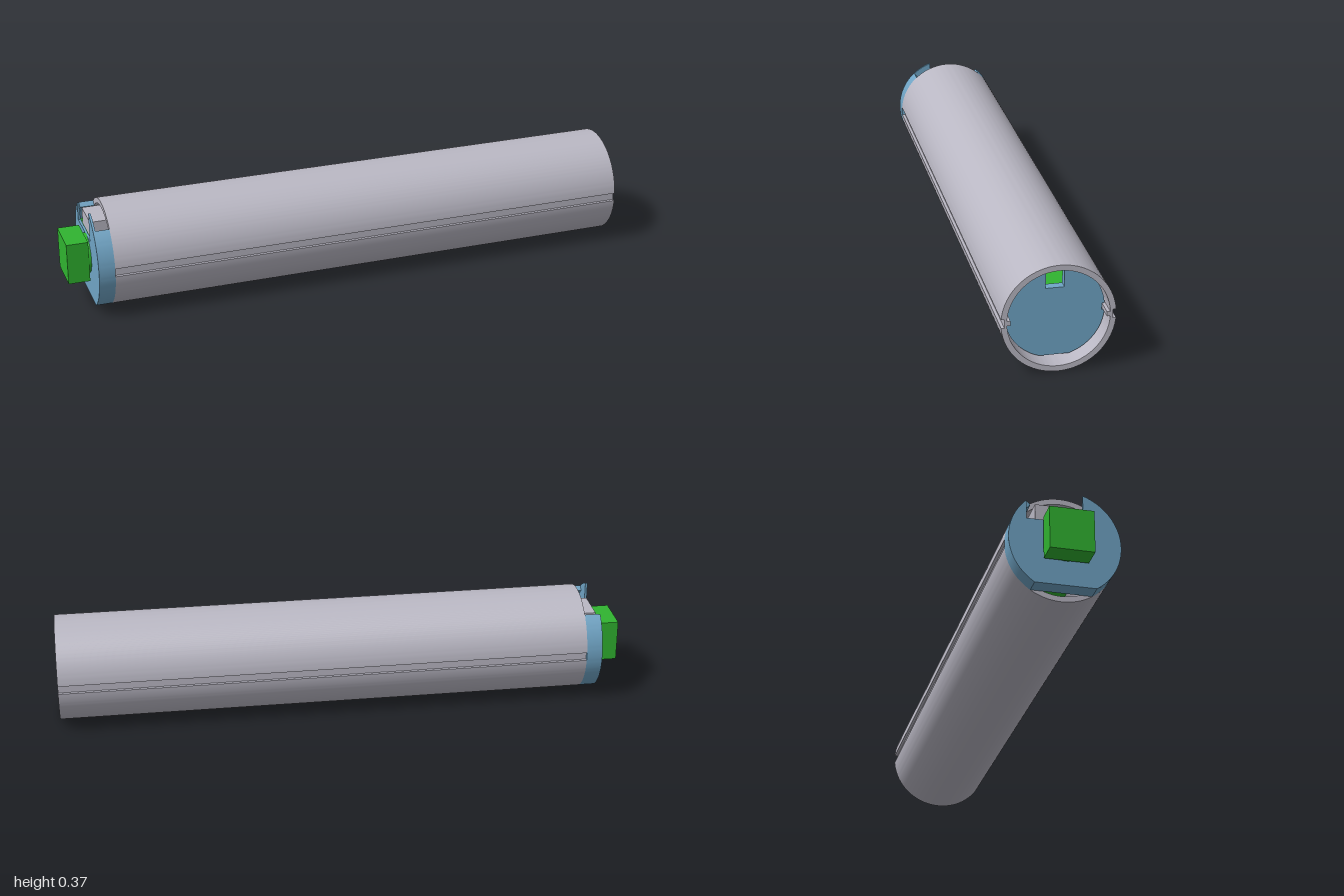
import * as THREE from 'three';
import { toCreasedNormals } from 'three/addons/utils/BufferGeometryUtils.js';

const AXIS_Y = 0.184; // height of the tube axis
const R = 0.184;      // outer radius

const mat = (name, color, side = THREE.FrontSide) => {
  const m = new THREE.MeshStandardMaterial({ color, side });
  m.name = name;
  return m;
};

const P = (x, y) => new THREE.Vector2(x, y);

function arc(r, a0, a1, n = 40) {
  return Array.from({ length: n + 1 }, (_, i) => {
    const a = a0 + (a1 - a0) * i / n;
    return P(r * Math.cos(a), r * Math.sin(a));
  });
}

// Arc on the +x side, with a square keyway down to radius `inner` and half height h
function keyedArc(r, a0, a1, inner, h) {
  const g = Math.asin(h / r);
  return [...arc(r, a0, -g), P(inner, -h), P(inner, h), ...arc(r, g, a1)];
}

// Close a half outline with its mirror image
const mirrored = half => [...half, ...half.map(p => P(-p.x, p.y)).reverse()];

// Extrude an outline (drawn around the tube axis) from x0 to x1
function section(points, x0, x1, hole) {
  const shape = new THREE.Shape(points);
  if (hole) shape.holes.push(new THREE.Path(hole));
  const geo = new THREE.ExtrudeGeometry(shape, { depth: x1 - x0, bevelEnabled: false });
  geo.rotateY(Math.PI / 2).translate(x0, AXIS_Y, 0);
  return toCreasedNormals(geo, 0.4);
}

export function createModel() {
  const model = new THREE.Group();
  model.name = 'tubeEnclosure';

  const grey = mat('tubeGrey', 0xbab8c4);
  const blue = mat('capBlue', 0x70a5c6);
  const green = mat('boardGreen', 0x30b430);
  const darkBlue = mat('cellBlue', 0x0c0cc8);

  const add = (name, geo, material) => {
    const mesh = new THREE.Mesh(geo, material);
    mesh.name = name;
    model.add(mesh);
    return mesh;
  };
  const box = (name, x0, x1, y0, y1, z0, z1, material) => add(name,
    new THREE.BoxGeometry(x1 - x0, y1 - y0, z1 - z0)
      .translate((x0 + x1) / 2, (y0 + y1) / 2, (z0 + z1) / 2), material);

  // Tube: grooves along the outside, guide ribs along the inside
  const q = Math.PI / 2 - 0.001;
  add('tube', section(
    mirrored(keyedArc(R, -q, q, 0.173, 0.0145)), -0.86, 1,
    mirrored(keyedArc(0.165, -q, q, 0.154, 0.008))), grey);

  // Inner end disc: flat bottom, side keyways, notch at the top
  const bottom = -0.154;
  add('innerDisc', section(mirrored([
    ...keyedArc(0.161, Math.asin(bottom / 0.161), Math.acos(0.03 / 0.161), 0.152, 0.0115),
    P(0.03, 0.081)]), 0.915, 0.945), blue);

  // End cap: open U-shaped wall with a flat floor
  const low = Math.asin(bottom / R);
  add('capWall', section(mirrored([
    ...arc(R, low, 0.832),
    ...arc(0.165, 0.832, Math.asin(-0.144 / 0.165))]), -0.91, -0.86), blue);

  // End plate with an off-centre slot that leaves a pointed horn
  add('capEndPlate', section([
    ...arc(R, low, Math.acos(0.125 / R)),
    P(0.125, 0.07), P(-0.06, 0.07),
    ...arc(R, Math.acos(-0.06 / R), Math.PI - low)], -0.916, -0.908), blue);

  // Circuit board, with a connector housing in the cap slot
  box('circuitBoard', -0.907, 0.9, 0.24, 0.255, -0.13, 0.13, green);
  box('connectorHousing', -0.907, -0.78, 0.255, 0.312, -0.095, 0.033, grey);

  // Battery with a gently rounded top, seen through the disc notch
  const cell = [P(-0.045, 0.072), P(0.045, 0.072)];
  for (let i = 0; i <= 12; i++) {
    const x = 0.045 - 0.09 * i / 12;
    cell.push(P(x, 0.136 - 2.2 * x * x));
  }
  add('battery', section(cell, 0.3, 0.7), darkBlue);

  // Outer plug on a short round neck
  box('plug', -1, -0.925, 0.112, 0.258, -0.073, 0.073, green);
  add('plugNeck', new THREE.CylinderGeometry(0.07, 0.07, 0.012, 40)
    .rotateZ(Math.PI / 2).translate(-0.92, 0.185, 0), green);

  return model;
}
